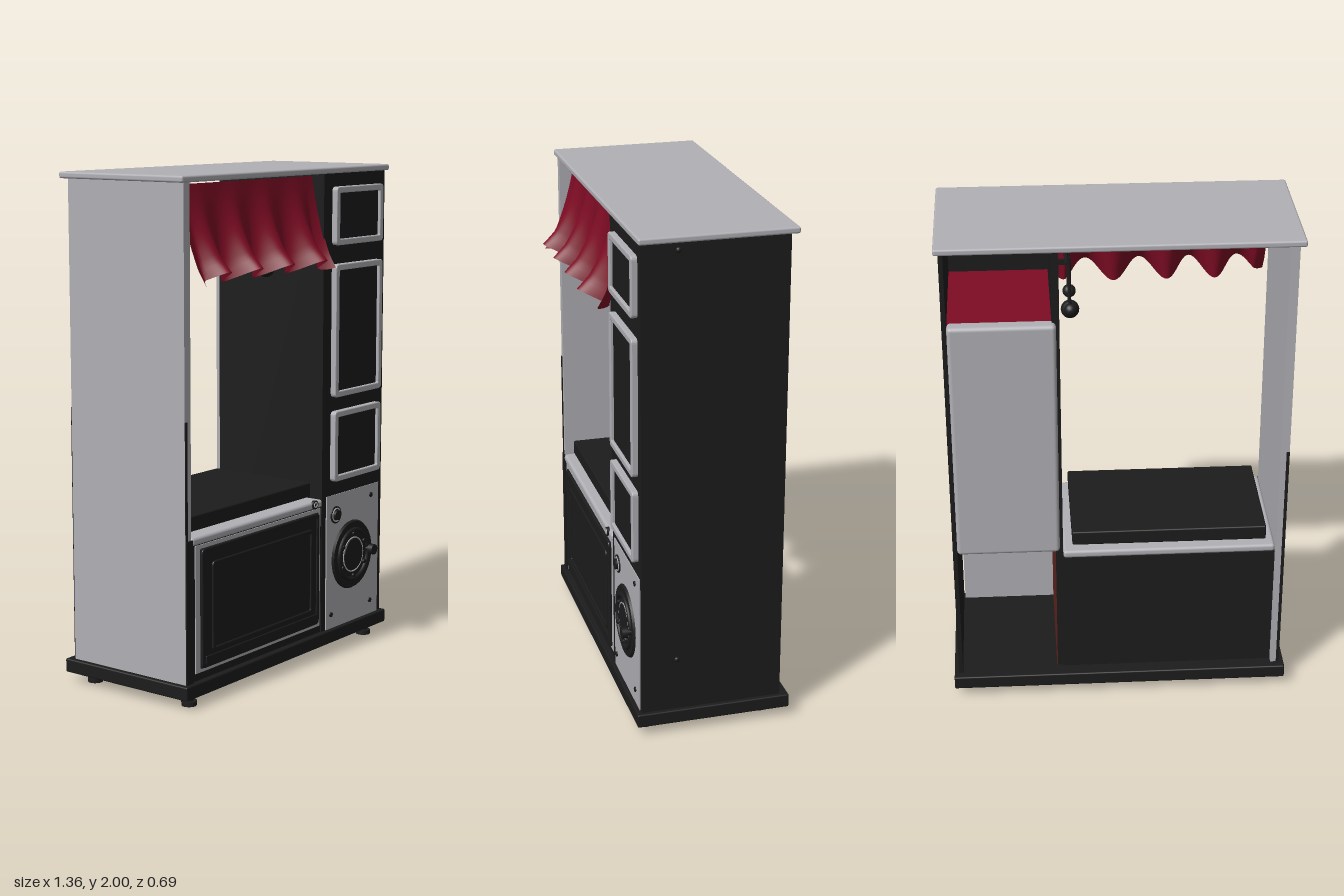
import * as THREE from 'three';
import { RoundedBoxGeometry } from 'three/addons/geometries/RoundedBoxGeometry.js';

export function createModel() {
  const model = new THREE.Group();
  const paint = (name, color, double) => {
    const m = new THREE.MeshStandardMaterial({ color });
    m.name = name;
    if (double) m.side = THREE.DoubleSide;
    return m;
  };
  const black = paint('charcoal', 0x1c1c1c);
  const grey = paint('light grey', 0xb0b0b5);
  const red = paint('curtain red', 0x7d0c24, true);
  const brown = paint('red brown', 0x5c241f);

  const add = (name, geometry, material, x = 0, y = 0, z = 0) => {
    const mesh = new THREE.Mesh(geometry, material);
    mesh.name = name;
    mesh.position.set(x, y, z);
    model.add(mesh);
    return mesh;
  };
  // Box given by its limits, with optional rounded edges
  const box = (name, mat, x0, x1, y0, y1, z0, z1, r = 0) => {
    const s = [x1 - x0, y1 - y0, z1 - z0];
    const g = r ? new RoundedBoxGeometry(...s, 3, r) : new THREE.BoxGeometry(...s);
    return add(name, g, mat, (x0 + x1) / 2, (y0 + y1) / 2, (z0 + z1) / 2);
  };
  // Disc or peg facing the front
  const disc = (name, mat, x, y, z0, z1, r, rTop = r) => {
    const g = new THREE.CylinderGeometry(rTop, r, z1 - z0, 32).rotateX(Math.PI / 2);
    return add(name, g, mat, x, y, (z0 + z1) / 2);
  };
  const roundedRect = (path, x0, x1, y0, y1, r) => {
    path.moveTo(x0 + r, y0);
    path.lineTo(x1 - r, y0);
    path.quadraticCurveTo(x1, y0, x1, y0 + r);
    path.lineTo(x1, y1 - r);
    path.quadraticCurveTo(x1, y1, x1 - r, y1);
    path.lineTo(x0 + r, y1);
    path.quadraticCurveTo(x0, y1, x0, y1 - r);
    path.lineTo(x0, y0 + r);
    path.quadraticCurveTo(x0, y0, x0 + r, y0);
    return path;
  };
  // Rectangular rim with rounded corners
  const rim = (name, mat, x0, x1, y0, y1, z0, z1, w) => {
    const b = 0.004;
    const shape = roundedRect(new THREE.Shape(), x0 + b, x1 - b, y0 + b, y1 - b, 0.015);
    shape.holes.push(roundedRect(new THREE.Path(), x0 + w, x1 - w, y0 + w, y1 - w, 0.01));
    const g = new THREE.ExtrudeGeometry(shape, {
      depth: z1 - z0 - b, bevelThickness: b, bevelSize: b, bevelSegments: 2, curveSegments: 5,
    });
    add(name, g, mat, 0, 0, z0);
  };

  // Carcass: plinth, feet, top and upright panels
  box('plinth', black, -0.68, 0.68, 0.04, 0.095, -0.345, 0.27, 0.006);
  for (const x of [-0.605, 0.585]) for (const z of [0.22, -0.255]) {
    add('footPad', new THREE.CylinderGeometry(0.03, 0.03, 0.018, 20), black, x, 0.009, z);
    add('footStem', new THREE.CylinderGeometry(0.017, 0.017, 0.03, 16), black, x, 0.03, z);
  }
  box('topBoard', grey, -0.682, 0.68, 1.975, 2, -0.338, 0.262, 0.008);
  box('rightSidePanel', grey, -0.66, -0.625, 0.095, 1.975, -0.31, 0.25);
  box('rightFrontTrim', black, -0.66, -0.622, 0.095, 0.65, 0.25, 0.256);
  for (const z of [-0.313, 0.25]) box('edgeStrip', black, -0.66, -0.648, 0.095, 1.1, z, z + 0.003);
  box('leftSidePanel', black, 0.645, 0.662, 0.095, 1.975, -0.31, 0.25);
  box('divider', black, 0.225, 0.254, 0.095, 1.975, -0.278, 0.25);
  box('dividerLiner', brown, 0.254, 0.257, 0.095, 0.66, -0.277, 0.225);
  for (const y of [1.945, 0.31]) {
    const cap = add('screwCap', new THREE.SphereGeometry(0.011, 16, 10), black, 0.662, y, 0.11);
    cap.scale.x = 0.8;
  }

  // Tall column with framed doors
  box('columnFront', black, 0.254, 0.645, 0.66, 1.975, 0.23, 0.25);
  for (const [y0, y1] of [[1.688, 1.922], [1.07, 1.612], [0.72, 1.012]]) {
    rim('doorRim', grey, 0.282, 0.622, y0, y1, 0.25, 0.274, 0.021);
    box('doorPanel', black, 0.305, 0.599, y0 + 0.023, y1 - 0.023, 0.25, 0.262, 0.004);
  }
  box('shelfTop', red, 0.254, 0.645, 1.64, 1.655, -0.28, 0.23);
  box('shelfBottom', red, 0.254, 0.645, 0.672, 0.687, -0.28, 0.23);
  box('columnBack', grey, 0.238, 0.645, 0.67, 1.67, -0.312, -0.25, 0.016);

  // Washer panel with dial, porthole and screws
  box('washerPanel', grey, 0.257, 0.64, 0.095, 0.66, 0.23, 0.253);
  disc('portholeDoor', black, 0.44, 0.385, 0.253, 0.262, 0.146, 0.14);
  add('portholeRing', new THREE.TorusGeometry(0.105, 0.01, 10, 48), black, 0.44, 0.385, 0.261);
  add('portholeTrim', new THREE.TorusGeometry(0.072, 0.003, 8, 48), grey, 0.44, 0.385, 0.262);
  disc('portholeGlass', black, 0.44, 0.385, 0.26, 0.266, 0.066);
  for (let i = 0; i < 6; i++) {
    const a = (i + 0.5) * Math.PI / 3;
    disc('portholeScrew', black, 0.44 + 0.09 * Math.cos(a), 0.385 + 0.09 * Math.sin(a), 0.262, 0.27, 0.009);
  }
  disc('portholeHandleStem', black, 0.545, 0.39, 0.25, 0.28, 0.012);
  disc('portholeHandle', black, 0.545, 0.39, 0.278, 0.3, 0.022);
  disc('dialBase', black, 0.32, 0.575, 0.253, 0.258, 0.036);
  add('dialRing', new THREE.TorusGeometry(0.027, 0.003, 8, 32), grey, 0.32, 0.575, 0.258);
  disc('dialKnob', black, 0.32, 0.575, 0.256, 0.268, 0.021);
  for (const [x, y] of [[0.58, 0.615], [0.29, 0.155], [0.58, 0.155]])
    disc('panelScrew', black, x, y, 0.253, 0.258, 0.01);

  // Oven cabinet
  box('ovenBack', black, -0.625, 0.225, 0.095, 0.625, -0.285, -0.265);
  box('ovenCabinetFront', black, -0.625, 0.225, 0.095, 0.625, 0.225, 0.246);
  box('worktop', grey, -0.625, 0.224, 0.625, 0.657, -0.288, 0.256, 0.012);
  box('ovenFrame', grey, -0.6, 0.215, 0.125, 0.622, 0.246, 0.25);
  box('ovenDoor', black, -0.573, 0.195, 0.14, 0.607, 0.248, 0.257, 0.003);
  rim('ovenDoorRim', black, -0.573, 0.195, 0.14, 0.607, 0.255, 0.262, 0.014);
  rim('ovenWindowRim', black, -0.51, 0.15, 0.195, 0.548, 0.256, 0.263, 0.012);
  box('ovenHinge', black, -0.55, 0.19, 0.15, 0.185, 0.256, 0.263, 0.003);

  // Hob on the worktop
  box('hob', black, -0.59, 0.187, 0.67, 0.73, -0.262, 0.22, 0.006);
  for (const x of [-0.5, 0.1]) for (const z of [-0.2, 0.14])
    add('hobFoot', new THREE.CylinderGeometry(0.015, 0.015, 0.02, 16), black, x, 0.663, z);
  disc('hobKnob', black, 0.165, 0.645, 0.25, 0.262, 0.018);
  add('hobKnobTrim', new THREE.TorusGeometry(0.01, 0.003, 8, 24), grey, 0.165, 0.645, 0.262);

  // Curtain: hangs from inside the opening, folds deepen and lean out to the scalloped hem
  const cloth = new THREE.PlaneGeometry(1, 1, 120, 20);
  const p = cloth.attributes.position;
  for (let i = 0; i < p.count; i++) {
    const u = p.getX(i) + 0.5, t = 0.5 - p.getY(i);
    const x = -0.62 + 0.845 * u;
    const wave = 0.5 + 0.5 * Math.cos((x + 0.52) * 2 * Math.PI / 0.205);
    const endFlare = Math.max(0, 1 - u / 0.09) * 0.75 + Math.max(0, 1 - (1 - u) / 0.06) * 0.6;
    const fold = Math.max(wave, endFlare);
    const lean = 0.19 + 0.045 * t + (0.015 + 0.085 * t) * t * fold;
    const lip = t > 0.85 ? (t - 0.85) * 0.1 * fold : 0;
    p.setXYZ(i, x + 0.008 * t * Math.sin(9 * x), 1.965 - t * (0.367 - 0.05 * wave), lean + lip);
  }
  cloth.computeVertexNormals();
  add('curtain', cloth, red);

  // Utensils hanging from a rail on the divider
  const rail = add('utensilRail', new THREE.CylinderGeometry(0.008, 0.008, 0.26, 12), black, 0.19, 1.84, 0);
  rail.rotation.x = Math.PI / 2;
  for (const z of [-0.11, 0.11]) box('railBracket', black, 0.19, 0.226, 1.83, 1.85, z - 0.008, z + 0.008);
  [[-0.07, 1.62, 0.026], [0, 1.59, 0.036], [0.08, 1.63, 0.026]].forEach(([z, y, r]) => {
    const h = 1.84 - y;
    add('utensilHandle', new THREE.CylinderGeometry(0.006, 0.006, h, 10), black, 0.178, y + h / 2, z);
    add('utensilHead', new THREE.SphereGeometry(r, 20, 14), black, 0.175, y, z);
  });

  return model;
}
